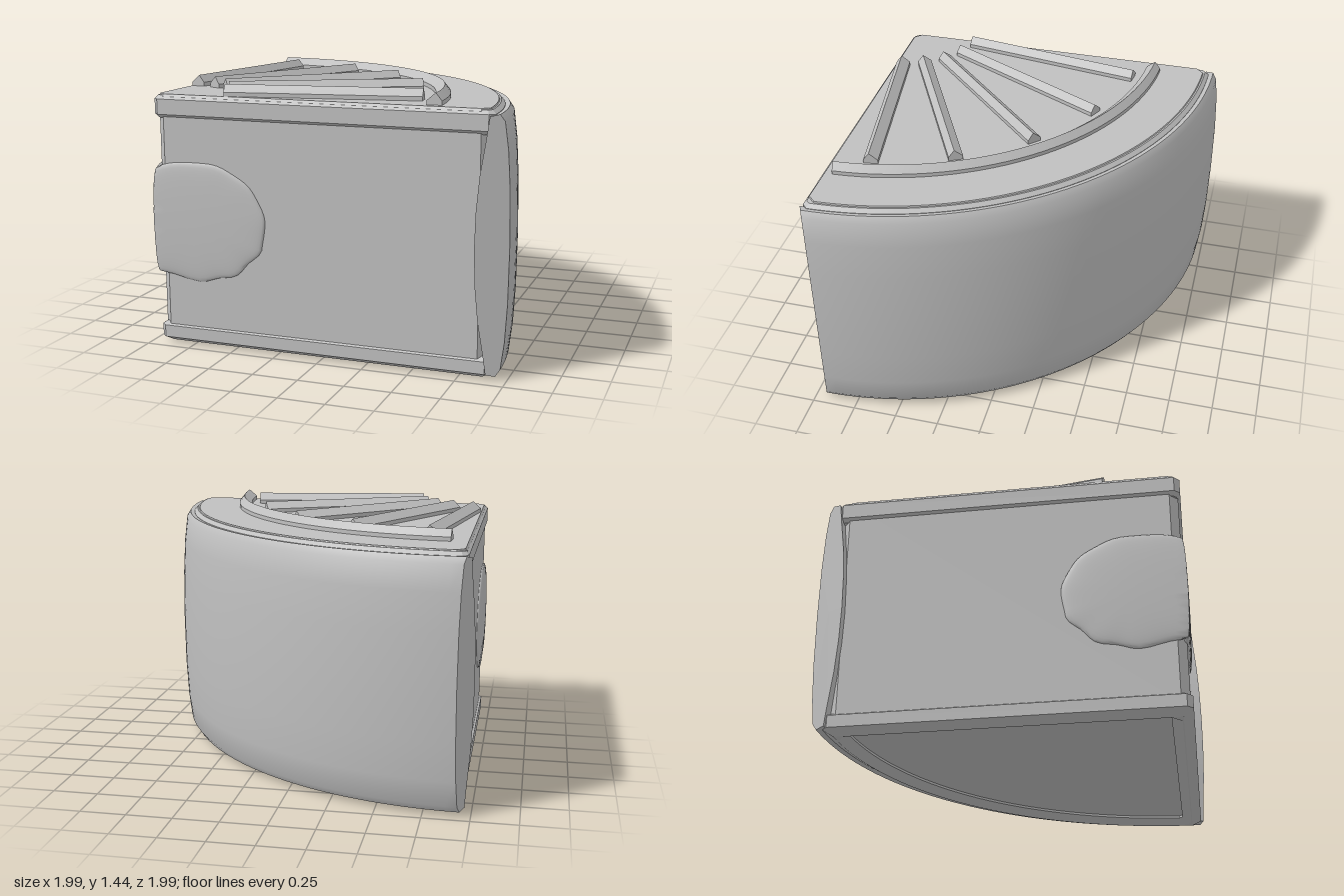
import * as THREE from 'three';
import { toCreasedNormals } from 'three/addons/utils/BufferGeometryUtils.js';

const CX = -0.95, CZ = 0.945; // tip of the wedge

// Quarter-round outline with all three corners cut off
function outline(path, radius, inset, chamfer) {
  const a = Math.asin((inset + chamfer) / radius);
  path.moveTo(inset + chamfer, inset);
  path.lineTo(radius - chamfer, inset);
  path.absarc(0, 0, radius, a, Math.PI / 2 - a, false);
  path.lineTo(inset, radius - chamfer);
  path.lineTo(inset, inset + chamfer);
  path.closePath();
  return path;
}

// Upright slab from y0 to y1; bevel is [height, width], rim hollows it out
function wedge(radius, inset, chamfer, y0, y1, bevel, rim = 0) {
  const s = outline(new THREE.Shape(), radius, inset, chamfer);
  if (rim) s.holes.push(outline(new THREE.Path(), radius - rim, inset + rim, 0.02));
  const [h, w] = bevel;
  const g = new THREE.ExtrudeGeometry(s, {
    depth: y1 - y0 - 2 * h, curveSegments: 32,
    bevelThickness: h, bevelSize: w, bevelOffset: -w, bevelSegments: 1,
  });
  g.rotateX(-Math.PI / 2).translate(CX, y0 + h, CZ);
  return toCreasedNormals(g, 0.35);
}

// Sweep a closed (r, y) profile round the tip; startTrim and endTrim cut the ends
function sweep(profile, startTrim, endTrim, steps, crease) {
  const pos = [], n = profile.length;
  const point = (i, j) => {
    const [r, y] = profile[j % n], start = startTrim(r), end = Math.PI / 2 - endTrim(r);
    const a = start + (end - start) * i / steps;
    return [CX + r * Math.cos(a), y, CZ - r * Math.sin(a)];
  };
  const tri = (a, b, c) => pos.push(...a, ...b, ...c);
  for (let i = 0; i < steps; i++) for (let j = 0; j < n; j++) {
    const a = point(i, j), b = point(i + 1, j), c = point(i + 1, j + 1), d = point(i, j + 1);
    tri(a, b, c);
    tri(a, c, d);
  }
  for (const i of [0, steps]) {
    const mid = [0, 1, 2].map(k => profile.reduce((t, p, j) => t + point(i, j)[k], 0) / n);
    for (let j = 0; j < n; j++) {
      if (i === 0) tri(mid, point(i, j), point(i, j + 1));
      else tri(mid, point(i, j + 1), point(i, j));
    }
  }
  const g = new THREE.BufferGeometry();
  g.setAttribute('position', new THREE.Float32BufferAttribute(pos, 3));
  return toCreasedNormals(g, crease);
}

// Flat dome with an uneven lower edge, mitred where the two cut faces meet
function fillingDome(sign) {
  const g = new THREE.SphereGeometry(1, 64, 24).rotateX(Math.PI / 2);
  const p = g.attributes.position;
  for (let i = 0; i < p.count; i++) {
    const u = sign * p.getX(i), v = p.getY(i), a = Math.atan2(v, u);
    const wobble = 1 + Math.hypot(u, v) * (a < -0.3 ? 0.025 : 0.008) * Math.sin(a * 11);
    const depth = p.getZ(i);
    const z = -0.014 + 0.026 * Math.sign(depth) * Math.pow(Math.abs(depth), 0.6);
    const x = Math.max(-z, 0.25 + u * (u > 0 ? 0.39 : 0.55) * wobble);
    p.setXYZ(i, sign * x, 0.695 + v * 0.325 * wobble, z);
  }
  return toCreasedNormals(g, 0.8);
}

export function createModel() {
  const model = new THREE.Group();
  model.name = 'wedge';
  const grey = new THREE.MeshStandardMaterial({ color: 0xc0c0c0 });
  grey.name = 'grey';
  const add = (name, geometry) => {
    const m = new THREE.Mesh(geometry, grey);
    m.name = name;
    model.add(m);
    return m;
  };

  // Solid body with a faceted rim round its top and bottom edges
  add('body', wedge(1.845, 0.013, 0.045, 0.045, 1.378, [0.012, 0.008]));
  add('bottomRim', wedge(1.87, 0, 0.03, 0, 0.13, [0.032, 0.054], 0.112));
  add('topRim', wedge(1.87, 0, 0.03, 1.25, 1.372, [0.02, 0.02], 0.112));

  // Bulging outer rind, lens-shaped in section
  const outer = [[1.85, 0.035], [1.895, 0.025], [1.918, 0.06], [1.935, 0.2], [1.946, 0.4]];
  const inner = [[1.835, 0.15], [1.81, 0.32], [1.795, 0.5]];
  const flip = list => list.map(([r, y]) => [r, 1.38 - y]);
  const lens = [...outer, [1.95, 0.69], ...flip(outer).reverse(),
    ...flip(inner), [1.79, 0.69], ...inner.slice().reverse()];
  const slant = r => (-0.045 + (r - 1.79) * 0.5) / r;
  add('rind', sweep(lens, slant, slant, 48, 0.6));

  // Raised ring and radial ribs on top, with an off-centre ridge in section
  const ridge = [[-0.04, 1.37], [0.04, 1.37], [0.04, 1.4], [-0.008, 1.44], [-0.04, 1.4]];
  const ringProfile = ridge.map(([x, y]) => [1.548 - x, y]).reverse();
  add('topRing', sweep(ringProfile, () => 0.04, () => 0.07, 32, 0.4));
  const ribShape = new THREE.Shape(ridge.map(([x, y]) => new THREE.Vector2(x, y)));
  const ribGeometry = new THREE.ExtrudeGeometry(ribShape, { depth: 1.05, bevelEnabled: false });
  ribGeometry.translate(0, 0, 0.41);
  for (let i = 0; i < 5; i++) {
    const rib = add('topRib', ribGeometry);
    rib.position.set(CX, 0, CZ);
    rib.rotation.y = Math.PI / 2 + THREE.MathUtils.degToRad(9 + 18 * i);
  }

  // Soft filling at the tip, showing on both cut faces
  add('frontFilling', fillingDome(1)).position.set(CX, 0, CZ);
  const side = add('sideFilling', fillingDome(-1));
  side.position.set(CX, 0, CZ);
  side.rotation.y = -Math.PI / 2;

  return model;
}
